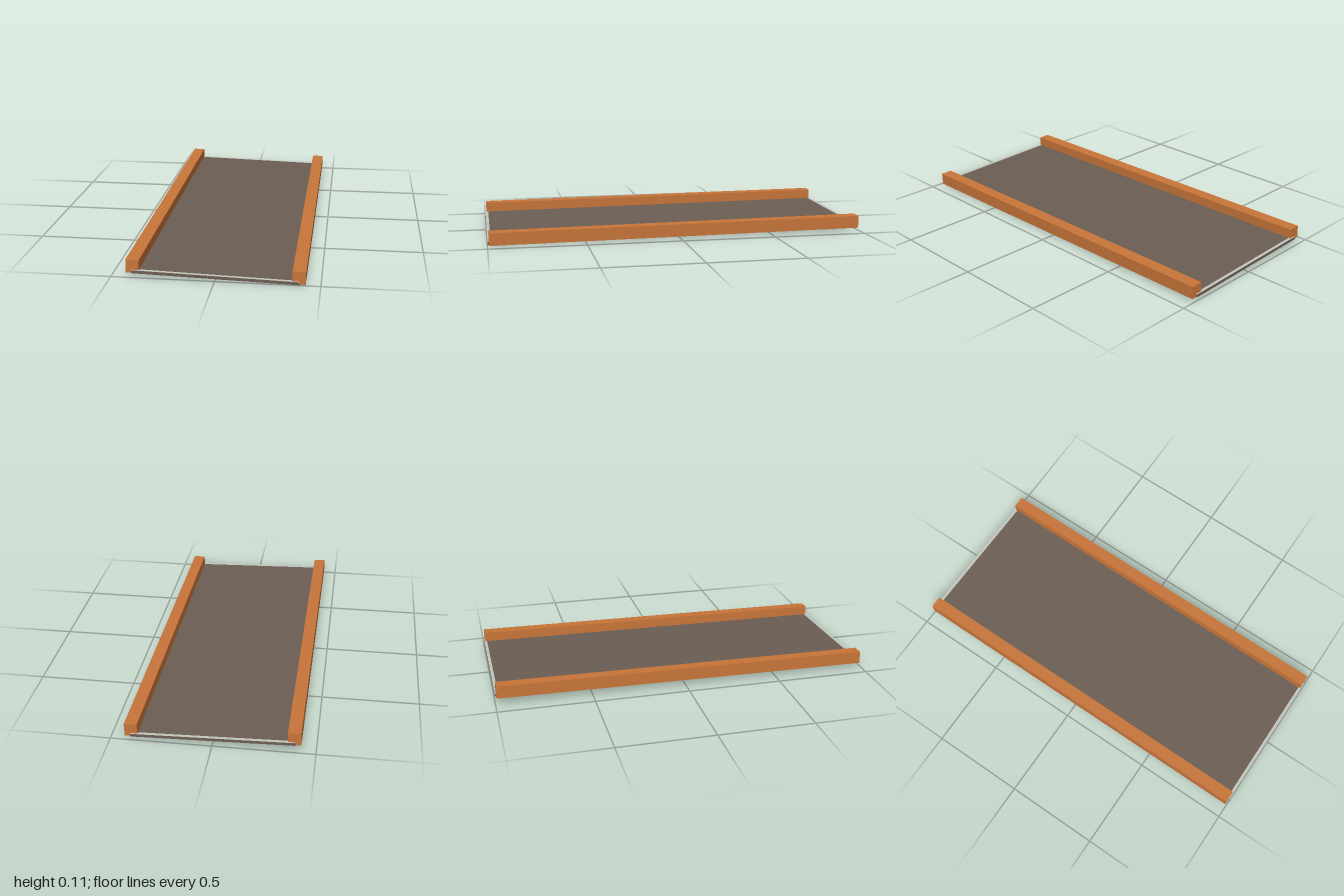
import * as THREE from 'three';

export function createModel() {
  const model = new THREE.Group();
  const orange = new THREE.MeshStandardMaterial({ color: 0xc87539 });
  orange.name = 'orange rail';
  const brown = new THREE.MeshStandardMaterial({ color: 0x6c5e54 });
  brown.name = 'grey brown deck';
  const pale = new THREE.MeshStandardMaterial({ color: 0xc3c7bd });
  pale.name = 'pale edging';

  // The whole panel leans slightly to its left and to the front
  const panel = new THREE.Group();
  panel.name = 'panel';
  panel.rotation.set(0.00875, 0, -0.0267);
  panel.position.y = 0.0203;
  model.add(panel);

  const deckHeight = 0.015;
  const deck = new THREE.Mesh(new THREE.BoxGeometry(0.8, deckHeight, 1.998), brown);
  deck.name = 'deck';
  deck.position.y = deckHeight / 2;
  panel.add(deck);

  // Rail section: sits on the deck, with a lip down its outer side
  const section = new THREE.Shape([
    [0.365, deckHeight], [0.4, deckHeight], [0.4, 0], [0.429, 0], [0.429, 0.066], [0.365, 0.066],
  ].map(([x, y]) => new THREE.Vector2(x, y)));
  const railLength = 1.986;

  for (const side of [1, -1]) {
    const railGeometry = new THREE.ExtrudeGeometry(section, { depth: railLength, bevelEnabled: false });
    railGeometry.translate(0, 0, -railLength / 2);
    if (side < 0) railGeometry.rotateY(Math.PI);
    const rail = new THREE.Mesh(railGeometry, orange);
    rail.name = side > 0 ? 'leftRail' : 'rightRail';
    panel.add(rail);

    // Thin edging across each end of the deck
    const edging = new THREE.Mesh(new THREE.BoxGeometry(0.8, 0.001, 0.016), pale);
    edging.name = side > 0 ? 'frontEdging' : 'backEdging';
    edging.position.set(0, deckHeight + 0.0005, side * 0.991);
    panel.add(edging);
  }
  return model;
}
